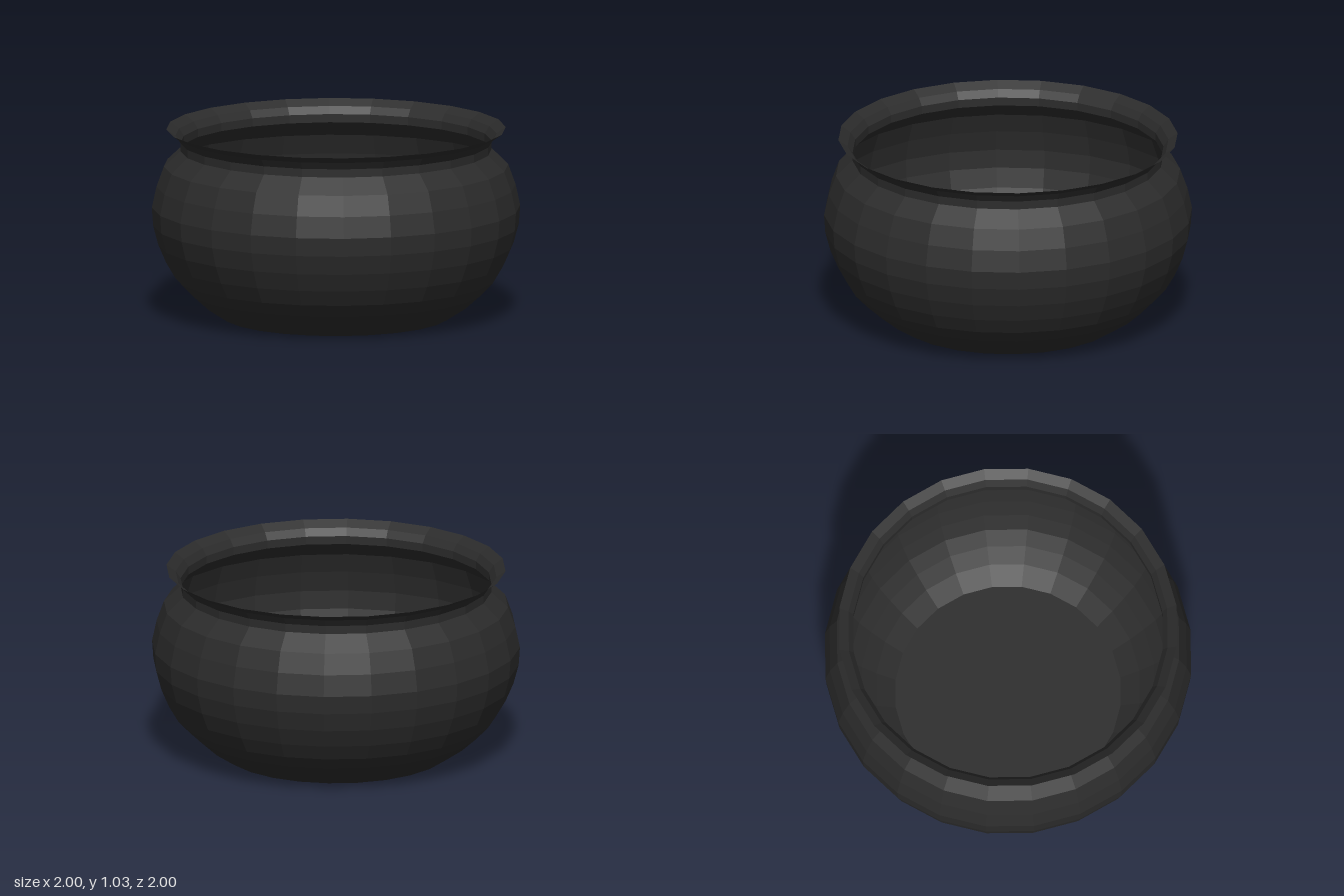
import * as THREE from 'three';

const SIDES = 24;

// Turns a [radius, height] profile into a faceted thin-walled surface
function turned(name, profile, material) {
  const points = profile.map(([r, y]) => new THREE.Vector2(r, y));
  const mesh = new THREE.Mesh(new THREE.LatheGeometry(points, SIDES), material);
  mesh.name = name;
  return mesh;
}

export function createModel() {
  const pot = new THREE.Group();
  pot.name = 'pot';
  const material = new THREE.MeshStandardMaterial({
    color: 0x2c2c2c, flatShading: true, side: THREE.DoubleSide,
  });

  // Flat floor
  const floor = new THREE.Mesh(new THREE.CircleGeometry(0.615, SIDES), material);
  floor.rotation.x = Math.PI / 2;
  floor.name = 'floor';
  pot.add(floor);

  // Rounded belly, widest above mid height
  pot.add(turned('belly', [
    [0.615, 0], [0.72, 0.068], [0.80, 0.14], [0.87, 0.212], [0.922, 0.30],
    [0.965, 0.40], [0.993, 0.505], [1, 0.605], [0.975, 0.72],
    [0.935, 0.83], [0.845, 0.915],
  ], material));

  // Narrow neck flaring out to a thin lip
  pot.add(turned('rim', [
    [0.845, 0.915], [0.845, 0.96], [0.872, 1.0], [0.922, 1.035],
  ], material));

  return pot;
}
